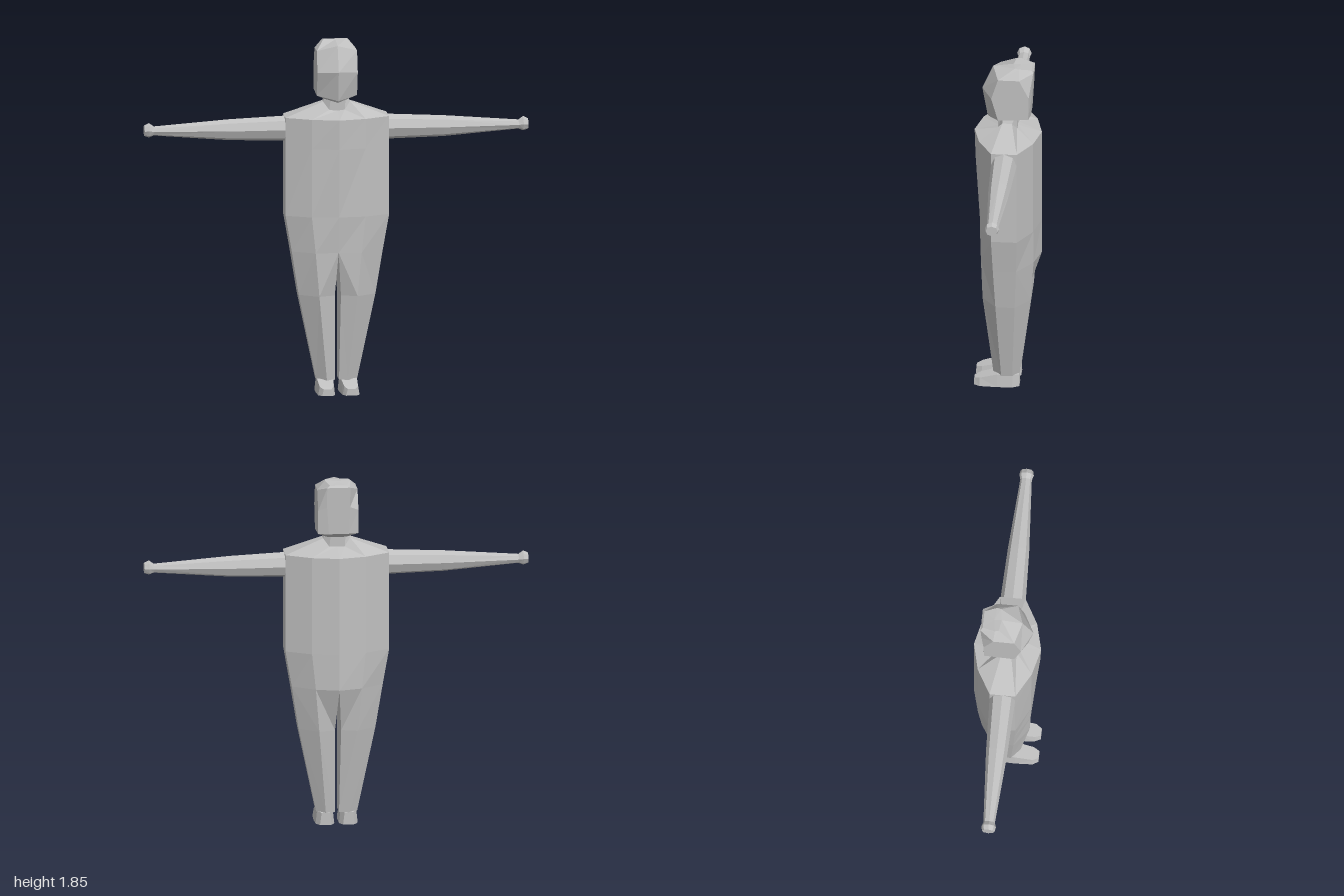
import * as THREE from 'three';

const skin = new THREE.MeshStandardMaterial({ color: 0xc0c0c0, flatShading: true });
skin.name = 'light grey';

// Joins rings of [x, y, z] points into a faceted skin that faces outwards.
function loft(name, rings, capStart, capEnd) {
  const n = rings[0].length;
  const tris = [];
  for (let r = 0; r < rings.length - 1; r++) {
    for (let i = 0; i < n; i++) {
      const j = (i + 1) % n;
      const a = rings[r][i], b = rings[r][j], c = rings[r + 1][j], d = rings[r + 1][i];
      tris.push([a, b, c], [a, c, d]);
    }
  }
  const middle = (pts) => [0, 1, 2].map((k) => pts.reduce((s, p) => s + p[k], 0) / pts.length);
  const cap = (ring, flip) => {
    const m = middle(ring);
    ring.forEach((p, i) => {
      const q = ring[(i + 1) % n];
      tris.push(flip ? [m, q, p] : [m, p, q]);
    });
  };
  if (capStart) cap(rings[0], true);
  if (capEnd) cap(rings[rings.length - 1], false);

  // the signed volume tells which way the faces point
  const centre = new THREE.Vector3(...middle(rings.flat()));
  let volume = 0;
  for (const t of tris) {
    const [a, b, c] = t.map((p) => new THREE.Vector3(...p).sub(centre));
    volume += a.dot(b.cross(c));
  }
  if (volume < 0) tris.forEach((t) => t.reverse());

  const geometry = new THREE.BufferGeometry();
  geometry.setAttribute('position', new THREE.Float32BufferAttribute(tris.flat(2), 3));
  geometry.computeVertexNormals();
  const mesh = new THREE.Mesh(geometry, skin);
  mesh.name = name;
  return mesh;
}

// Completes a half ring on +x; points on the centre line are kept once.
const mirrorRing = (half) => [
  ...half,
  ...half.filter((p) => p[0] > 0).reverse().map(([x, y, z]) => [-x, y, z]),
];
const mirrorX = (rings, s) => rings.map((ring) => ring.map(([x, y, z]) => [s * x, y, z]));
const level = (y, pts) => pts.map(([x, z]) => [x, y, z]);

export function createModel() {
  const model = new THREE.Group();
  model.name = 'figure';

  // crotch section, shared by the torso and both legs
  const hip = level(0.75, [[0, 0.13], [0.12, 0.132], [0.237, 0.06], [0.237, -0.06], [0.12, -0.142], [0, -0.175]]);

  // torso, sloping shoulders and neck
  const torso = [
    hip,
    level(0.94, [[0, 0.148], [0.14, 0.135], [0.27, 0.067], [0.27, -0.067], [0.14, -0.142], [0, -0.175]]),
    level(1.3, [[0, 0.17], [0.14, 0.138], [0.27, 0.067], [0.27, -0.067], [0.14, -0.142], [0, -0.175]]),
    level(1.455, [[0, 0.175], [0.14, 0.14], [0.27, 0.067], [0.27, -0.067], [0.14, -0.142], [0, -0.175]]),
    [[0, 1.485, 0.05], [0.04, 1.49, 0.05], [0.07, 1.53, 0.025], [0.07, 1.53, -0.025], [0.04, 1.49, -0.05], [0, 1.49, -0.05]],
    level(1.575, [[0, 0.05], [0.03, 0.05], [0.05, 0.025], [0.05, -0.025], [0.03, -0.05], [0, -0.05]]),
  ];
  model.add(loft('torso', torso.map(mirrorRing), false, false));

  // head, from jaw to crown
  const head = [
    [[0, 1.535, 0.1], [0.05, 1.54, 0.03], [0.05, 1.545, -0.06], [0.03, 1.55, -0.085]],
    [[0, 1.545, 0.108], [0.105, 1.565, 0.045], [0.105, 1.575, -0.112], [0.05, 1.575, -0.122]],
    [[0, 1.7, 0.135], [0.105, 1.69, 0.08], [0.105, 1.7, -0.115], [0.06, 1.72, -0.13]],
    [[0, 1.83, 0.078], [0.105, 1.8, 0.045], [0.105, 1.8, -0.065], [0.06, 1.825, -0.135]],
    [[0, 1.847, -0.03], [0.06, 1.85, -0.04], [0.065, 1.848, -0.06], [0.045, 1.835, -0.125]],
  ];
  model.add(loft('head', head.map(mirrorRing), true, true));

  // leg from hip to ankle
  const leg = [
    hip,
    level(0.52, [[0.016, 0.09], [0.1, 0.125], [0.2, 0.05], [0.2, -0.05], [0.1, -0.125], [0.016, -0.1]]),
    level(0.07, [[0.01, 0.055], [0.055, 0.073], [0.107, 0.028], [0.107, -0.03], [0.06, -0.066], [0.01, -0.055]]),
  ];

  // foot sections from heel to toe: z, inner x, outer x, top y
  const foot = [[-0.065, 0.03, 0.09, 0.07], [-0.03, 0.012, 0.11, 0.075], [0.05, 0.012, 0.112, 0.075], [0.14, 0.02, 0.108, 0.05], [0.17, 0.035, 0.09, 0.04]]
    .map(([z, a, b, top]) => [[a, 0.005, z], [b, 0.005, z], [b - 0.008, top, z], [a + 0.008, top, z]]);

  // arm sections from shoulder to fist: x, centre y, half height, half depth
  const arm = [[0.26, 1.39, 0.066, 0.067], [0.56, 1.387, 0.055, 0.056], [0.95, 1.388, 0.024, 0.03], [0.975, 1.392, 0.038, 0.038], [1, 1.39, 0.028, 0.032]]
    .map(([x, y, h, d]) => Array.from({ length: 8 }, (_, i) => {
      const t = (i * Math.PI) / 4;
      return [x, y + h * Math.cos(t), d * Math.sin(t)];
    }));

  for (const [side, s] of [['left', 1], ['right', -1]]) {
    model.add(loft(side + 'Leg', mirrorX(leg, s), false, false));
    model.add(loft(side + 'Foot', mirrorX(foot, s), true, true));
    model.add(loft(side + 'Arm', mirrorX(arm, s), false, true));
  }
  return model;
}
